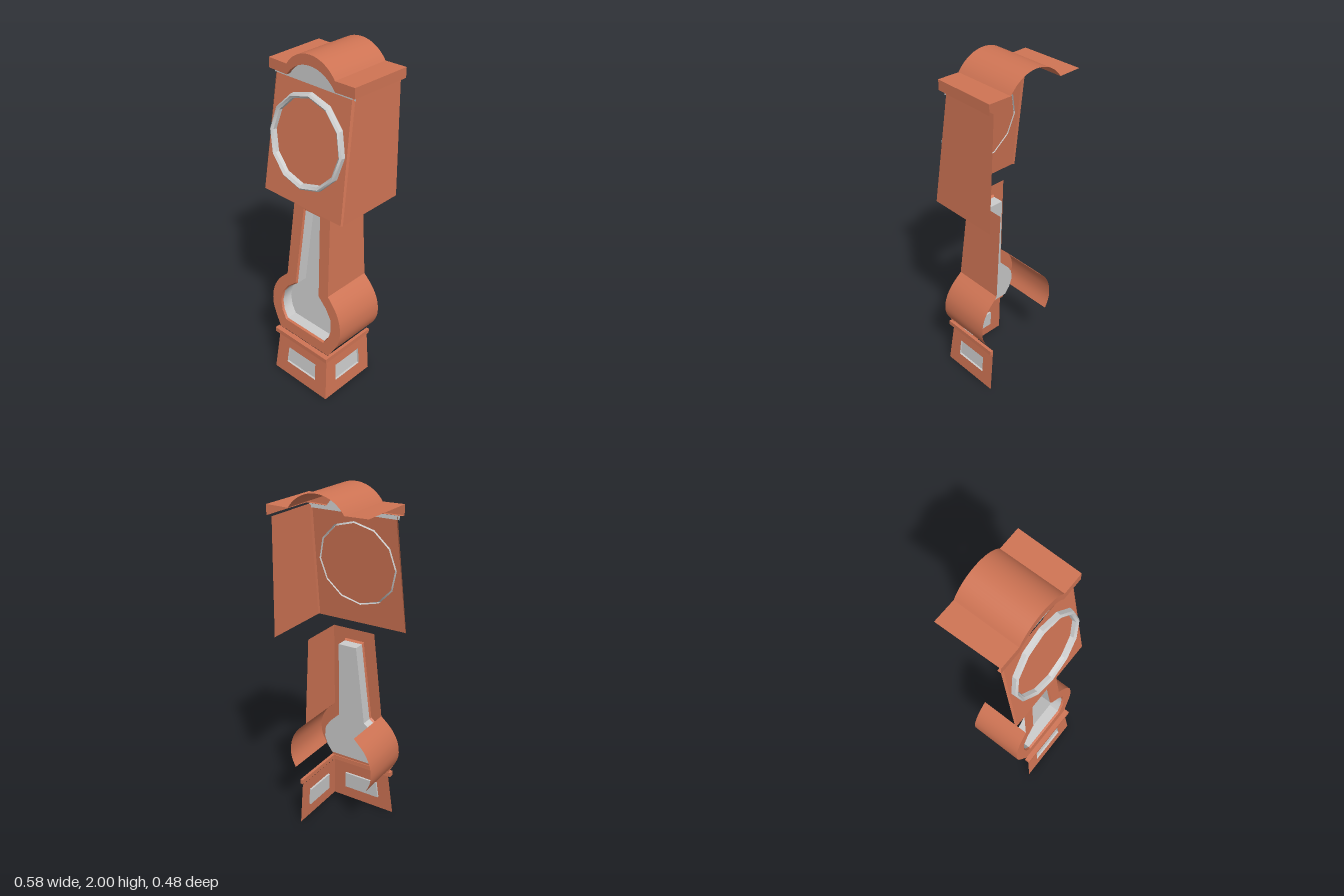
import * as THREE from 'three';
import { toCreasedNormals } from 'three/addons/utils/BufferGeometryUtils.js';

const wood = new THREE.MeshStandardMaterial({ color: 0xcf7454, side: THREE.DoubleSide });
const pale = new THREE.MeshStandardMaterial({ color: 0xcccccc, side: THREE.DoubleSide });

const mirrored = (half) => [...half, ...half.map(([x, y]) => [-x, y]).reverse()];
// Points [x, y] laid on a leaning face z = f(y)
const lay = (pts, f) => pts.map(([x, y]) => [x, y, f(y)]);
const lean = (y0, z0, y1, z1) => (y) => z0 + ((z1 - z0) * (y - y0)) / (y1 - y0);
const circle = (r, cy, n) => Array.from({ length: n }, (_, i) => {
  const a = (i / n) * Math.PI * 2;
  return [r * Math.cos(a), cy + r * Math.sin(a)];
});

export function createModel() {
  const model = new THREE.Group();
  function add(name, geo, mat, parent = model) {
    const mesh = new THREE.Mesh(geo, mat);
    mesh.name = name;
    parent.add(mesh);
    return mesh;
  }
  function section(name) {
    const g = new THREE.Group();
    g.name = name;
    model.add(g);
    return g;
  }
  // Flat panel with optional holes, moved onto a leaning plane
  function panel(pts, f, holes = []) {
    const vec = (p) => p.map(([x, y]) => new THREE.Vector2(x, y));
    const shape = new THREE.Shape(vec(pts));
    holes.forEach((h) => shape.holes.push(new THREE.Path(vec(h))));
    const geo = new THREE.ShapeGeometry(shape);
    const p = geo.attributes.position;
    for (let i = 0; i < p.count; i++) p.setZ(i, f(p.getY(i)));
    geo.computeVertexNormals();
    return geo;
  }
  // Skin between two matching rows of points
  function strip(a, b, closed = false) {
    const n = a.length, index = [];
    for (let i = 0; i < (closed ? n : n - 1); i++) {
      const j = (i + 1) % n;
      index.push(i, n + i, j, j, n + i, n + j);
    }
    const geo = new THREE.BufferGeometry();
    geo.setAttribute('position', new THREE.Float32BufferAttribute([...a, ...b].flat(), 3));
    geo.setIndex(index);
    geo.computeVertexNormals();
    return toCreasedNormals(geo, 0.5);
  }

  // Base: front and one side, each with a pale inset
  const base = section('base');
  const baseZ = lean(0, 0.24, 0.27, 0.21);
  const baseFront = mirrored([[0.208, 0], [0.188, 0.27]]);
  const frontWindow = mirrored([[0.115, 0.085], [0.107, 0.193]]);
  add('baseFront', panel(baseFront, baseZ, [frontWindow]), wood, base);
  add('baseFrontInset', panel(frontWindow, (y) => baseZ(y) - 0.012), pale, base);
  add('baseFrontReveal', strip(lay(frontWindow, baseZ), lay(frontWindow, (y) => baseZ(y) - 0.012), true), pale, base);
  // The side is drawn in (z, y), then turned onto the leaning plane x = f(y)
  const toSide = (geo, f) => {
    const p = geo.attributes.position;
    for (let i = 0; i < p.count; i++) p.setXYZ(i, f(p.getY(i)), p.getY(i), p.getX(i));
    geo.index.array.reverse();
    geo.computeVertexNormals();
    return geo;
  };
  const sideX = lean(0, 0.208, 0.27, 0.188);
  const insetX = (y) => sideX(y) - 0.012;
  const flat = () => 0;
  const sideWindow = [[-0.055, 0.085], [0.15, 0.085], [0.142, 0.193], [-0.055, 0.193]];
  add('baseSide', toSide(panel([[-0.135, 0], [0.24, 0], [0.21, 0.27], [-0.135, 0.27]], flat, [sideWindow]), sideX), wood, base);
  add('baseSideInset', toSide(panel(sideWindow, flat), insetX), pale, base);
  const onSide = (f) => sideWindow.map(([z, y]) => [f(y), y, z]);
  add('baseSideReveal', strip(onSide(sideX), onSide(insetX), true), pale, base);

  // Narrow moulding above the base
  add('mouldingFront', new THREE.BoxGeometry(0.41, 0.028, 0.03), wood, base).position.set(0, 0.286, 0.217);
  add('mouldingSide', new THREE.BoxGeometry(0.018, 0.028, 0.34), wood, base).position.set(0.196, 0.286, 0.035);

  // Trunk: tapered neck over a round belly, with a keyhole recess
  const trunk = section('trunk');
  const trunkZ = lean(0.3, 0.203, 1.2, 0.117);
  const belly = new THREE.SplineCurve([[0.235, 0.375], [0.258, 0.425], [0.266, 0.48], [0.256, 0.55],
    [0.22, 0.62], [0.157, 0.685]].map((p) => new THREE.Vector2(...p))).getPoints(14).map((p) => [p.x, p.y]);
  const outline = mirrored([[0.193, 0.303], ...belly, [0.128, 1.2]]);
  const keyhole = mirrored([[0.15, 0.37], [0.183, 0.42], [0.198, 0.48], [0.188, 0.55], [0.15, 0.603],
    [0.09, 0.655], [0.06, 1.135]]);
  const lip = mirrored([[0.147, 0.376], [0.178, 0.423], [0.192, 0.48], [0.182, 0.547], [0.146, 0.598],
    [0.084, 0.65], [0.055, 1.125]]);
  const lipZ = (y) => trunkZ(y) - 0.012, recessZ = (y) => trunkZ(y) - 0.075;
  add('trunkFront', panel(outline, trunkZ, [keyhole]), wood, trunk);
  add('recessLip', strip(lay(keyhole, trunkZ), lay(lip, lipZ), true), wood, trunk);
  add('recessWall', strip(lay(lip, lipZ), lay(lip, recessZ), true), pale, trunk);
  add('recessBack', panel(lip, recessZ), pale, trunk);
  const atBack = () => -0.135;
  for (const s of [1, -1]) {
    const side = belly.map(([x, y]) => [s * x, y]);
    add('bellySide', strip(lay(side, trunkZ), lay(side, atBack)), wood, trunk);
  }
  const neck = [[0.157, 0.685], [0.128, 1.2]];
  add('neckSide', strip(lay(neck, trunkZ), lay(neck, atBack)), wood, trunk);

  // Hood: leaning front with a twelve-sided dial
  const hood = section('hood');
  const hoodZ = lean(1.21, 0.198, 1.86, 0.1);
  const edgeZ = (y) => hoodZ(y) - 0.008;
  const dialY = 1.56;
  const hoodHalf = [[0.274, 1.21], [0.25, 1.843]], edgeHalf = [[0.282, 1.21], [0.262, 1.86]];
  add('hoodFront', panel(mirrored(hoodHalf), hoodZ, [circle(0.238, dialY, 12)]), wood, hood);
  for (const s of [1, -1]) {
    const flip = (pts) => pts.map(([x, y]) => [s * x, y]);
    add('hoodCornerEdge', strip(lay(flip(hoodHalf), hoodZ), lay(flip(edgeHalf), edgeZ)), wood, hood);
  }
  add('hoodSide', strip(lay(edgeHalf, edgeZ), lay(edgeHalf, lean(1.21, -0.223, 1.86, -0.235))), wood, hood);
  add('dial', panel(circle(0.228, dialY, 12), hoodZ), wood, hood);
  // Dial rim as nested rings of [radius, height off the face]
  const rim = [[0.25, 0], [0.248, 0.022], [0.238, 0.03], [0.225, 0.02], [0.222, 0]]
    .map(([r, h]) => lay(circle(r, dialY, 12), (y) => hoodZ(y) + h));
  for (let i = 0; i < rim.length - 1; i++) add('dialRim', strip(rim[i], rim[i + 1], true), pale, hood);

  // Roof: arched sheet with a front band and one side band
  const roof = section('roof');
  const R = 0.193, half = Math.asin(0.16 / R);
  const arch = Array.from({ length: 25 }, (_, i) => {
    const a = half * (1 - i / 12);
    return [R * Math.sin(a), 2 - R + R * Math.cos(a)];
  });
  const top = [[0.284, 1.917], ...arch, [-0.284, 1.917]];
  const under = top.map(([x, y]) => [x, y - 0.055]);
  const widen = (pts, z) => pts.map(([x, y]) => [Math.abs(x) > 0.2 ? x * 1.025 : x, y, z]);
  const topFront = lay(top, () => 0.122), underFront = lay(under, () => 0.122);
  add('roofTop', strip(topFront, widen(top, -0.238)), wood, roof);
  add('roofFrontBand', strip(topFront, underFront), wood, roof);
  add('roofSoffit', strip(underFront, lay(under, () => 0.1)), wood, roof);
  const end = [top[0], under[0]];
  add('roofSideBand', strip(lay(end, () => 0.122), widen(end, -0.238)), wood, roof);
  // Pale infill under the arch
  const infill = [[-0.27, 1.84], [0.27, 1.84], [0.27, 1.862], ...under.slice(1, -1), [-0.27, 1.862]];
  add('archInfill', panel(infill, () => 0.098), pale, roof);
  return model;
}
